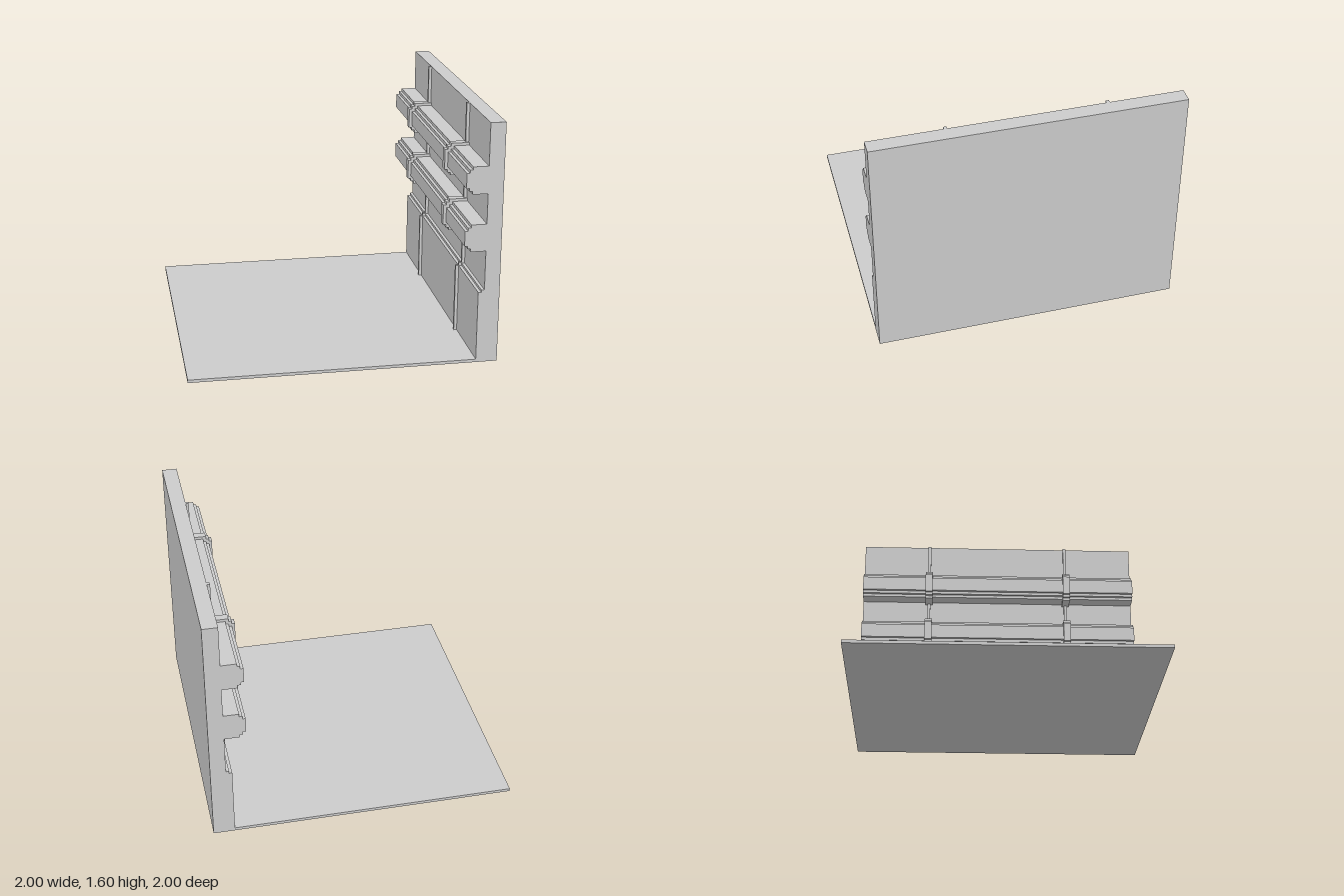
import * as THREE from 'three';

const material = new THREE.MeshStandardMaterial({ color: 0xcccccc, flatShading: true });

// Extrudes an [x, y] profile along z, centred on zMid.
function extrude(name, points, width, zMid = 0) {
  const shape = new THREE.Shape(points.map(([x, y]) => new THREE.Vector2(x, y)));
  const geometry = new THREE.ExtrudeGeometry(shape, { depth: width, bevelEnabled: false });
  geometry.translate(0, 0, zMid - width / 2);
  const mesh = new THREE.Mesh(geometry, material);
  mesh.name = name;
  return mesh;
}

// Stepped rail outline from its lower back corner up to its upper back corner.
function railOutline(back, nose, yMid, half) {
  const s = 0.02;
  const lower = [[back, -half], [nose + 2 * s, -half], [nose + 2 * s, s - half],
    [nose + s, s - half], [nose + s, 2 * s - half], [nose, 2 * s - half]];
  const upper = lower.map(([x, y]) => [x, -y]).reverse();
  return [...lower, ...upper].map(([x, y]) => [x, y + yMid]);
}

export function createModel() {
  const model = new THREE.Group();
  const railHeights = [0.852, 1.232];
  const postPositions = [-0.513, 0.507];

  // Floor slab
  const floor = new THREE.Mesh(new THREE.BoxGeometry(1.86, 0.02, 2), material);
  floor.position.set(-0.07, 0.01, 0);
  floor.name = 'floor';
  model.add(floor);

  // Wall with stepped lower panelling and two full-length rails
  model.add(extrude('wall', [
    [1, 0], [1, 1.6], [0.9, 1.6],
    ...railHeights.slice().reverse().flatMap((y) => railOutline(0.9, 0.76, y, 0.09).reverse()),
    [0.9, 0.5], [0.88, 0.5], [0.88, 0.484], [0.86, 0.484], [0.86, 0],
  ].reverse(), 2));

  for (const z of postPositions) {
    // Narrow vertical batten following the panelling
    model.add(extrude('batten', [
      [0.91, 0.02], [0.91, 1.6], [0.88, 1.6], [0.88, 0.504],
      [0.86, 0.504], [0.86, 0.484], [0.84, 0.484], [0.84, 0.02],
    ].reverse(), 0.022, z));

    // Raised collars wrapped around the rails
    for (const y of railHeights) {
      model.add(extrude('railCollar', railOutline(0.9, 0.74, y, 0.108)
        .map(([x, h]) => [x, h]), 0.052, z));
    }
  }
  return model;
}
